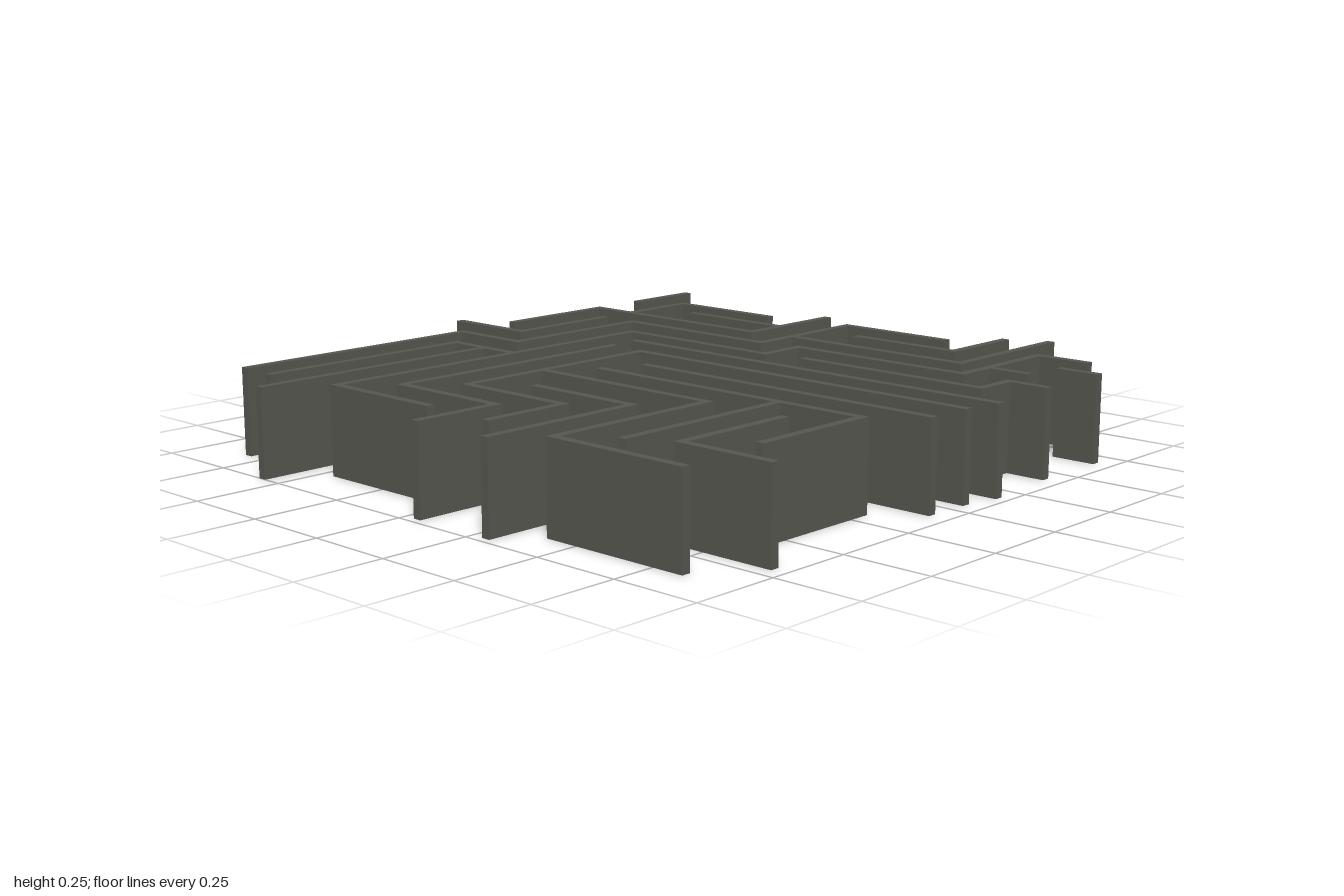
import * as THREE from 'three';

const HEIGHT = 0.25;
const HALF = 0.0125; // half the wall thickness

// Centre lines of the walls in plan, as [x, z] points; every bend is a right angle.
const WALLS = {
  backSteppedWall: [[-0.87, -0.818], [-0.078, -0.818], [-0.078, -0.57], [0.404, -0.57], [0.404, -0.035], [0.81, -0.035], [0.81, 0.342]],
  backHookWall: [[-0.88, -0.693], [-0.21, -0.693], [-0.21, -0.457]],
  backRightStraightWall: [[-1, -0.57], [-0.222, -0.57]],
  mainSteppedWall: [[-0.84, 0.062 - 0.122], [-0.84, -0.444], [0.276, -0.444], [0.276, 0.091], [0.422, 0.091], [0.422, 0.674], [0.791, 0.674], [0.791, 0.842]],
  rightSteppedWall: [[-0.979, 0.045], [-0.716, 0.045], [-0.716, -0.321], [0.08, -0.321]],
  centreSteppedWall: [[-0.856, 0.166], [-0.597, 0.166], [-0.597, -0.198], [0.059, -0.198], [0.059, 0.949]],
  rightCornerWall: [[-0.979, 0.299], [-0.484, 0.299], [-0.484, -0.061]],
  zigzagWall: [[-0.864, 0.842], [-0.864, 0.414], [-0.326, 0.414], [-0.326, -0.186]],
  frontCornerWall: [[-0.583, 0.813], [-0.2, 0.813], [-0.2, -0.104]],
  frontBranchWall: [[-0.77, 0.548], [-0.212, 0.548]],
  frontRightCornerWall: [[-0.697, 0.96], [-0.697, 0.67], [-0.323, 0.67]],
  centreShortWall: [[-0.078, -0.05], [-0.078, 0.944]],
  centreLongWall: [[0.172, -0.334], [0.172, 0.971]],
  frontLeftWall: [[0.296, 0.211], [0.296, 0.832]],
  frontLeftHookWall: [[0.308, 0.822], [0.422, 0.822], [0.422, 0.949]],
  backCornerWall: [[0.047, -0.976], [0.047, -0.693], [0.41, -0.693]],
  backLeftSteppedWall: [[0.139, -0.834], [0.522, -0.834], [0.522, -0.174], [0.886, -0.174]],
  backLeftStraightWall: [[0.695, -0.834], [0.944, -0.834]],
  backLeftHookWall: [[0.534, -0.693], [0.768, -0.693], [0.768, -0.313]],
  backLeftBranchWall: [[0.654, -0.548], [0.654, -0.186]],
  leftCornerWall: [[0.542, -0.023], [0.542, 0.58], [1, 0.58]],
  leftInnerCornerWall: [[0.68, 0.1], [0.68, 0.46], [0.942, 0.46]],
  frontLeftBranchWall: [[0.542, 0.686], [0.542, 0.81]],
  frontLeftStubWall: [[0.668, 0.82], [0.668, 0.95]],
};

// Mitred outline around a centre line, extruded upwards
function wallGeometry(points) {
  const line = points.map(([x, z]) => new THREE.Vector2(x, -z));
  const normals = line.slice(1).map((p, i) => {
    const d = p.clone().sub(line[i]).normalize();
    return new THREE.Vector2(-d.y, d.x);
  });
  const offsets = line.map((p, i) => {
    const before = normals[i - 1], after = normals[i];
    const n = before && after ? before.clone().add(after) : (before || after).clone();
    return n.multiplyScalar(HALF);
  });
  const leftSide = line.map((p, i) => p.clone().add(offsets[i]));
  const rightSide = line.map((p, i) => p.clone().sub(offsets[i]));
  const shape = new THREE.Shape([...leftSide, ...rightSide.reverse()]);
  return new THREE.ExtrudeGeometry(shape, { depth: HEIGHT, bevelEnabled: false }).rotateX(-Math.PI / 2);
}

export function createModel() {
  const group = new THREE.Group();
  group.name = 'mazeWalls';
  const stone = new THREE.MeshStandardMaterial({ color: 0x56564f });
  stone.name = 'dark grey stone';

  for (const [name, points] of Object.entries(WALLS)) {
    const wall = new THREE.Mesh(wallGeometry(points), stone);
    wall.name = name;
    group.add(wall);
  }
  return group;
}
